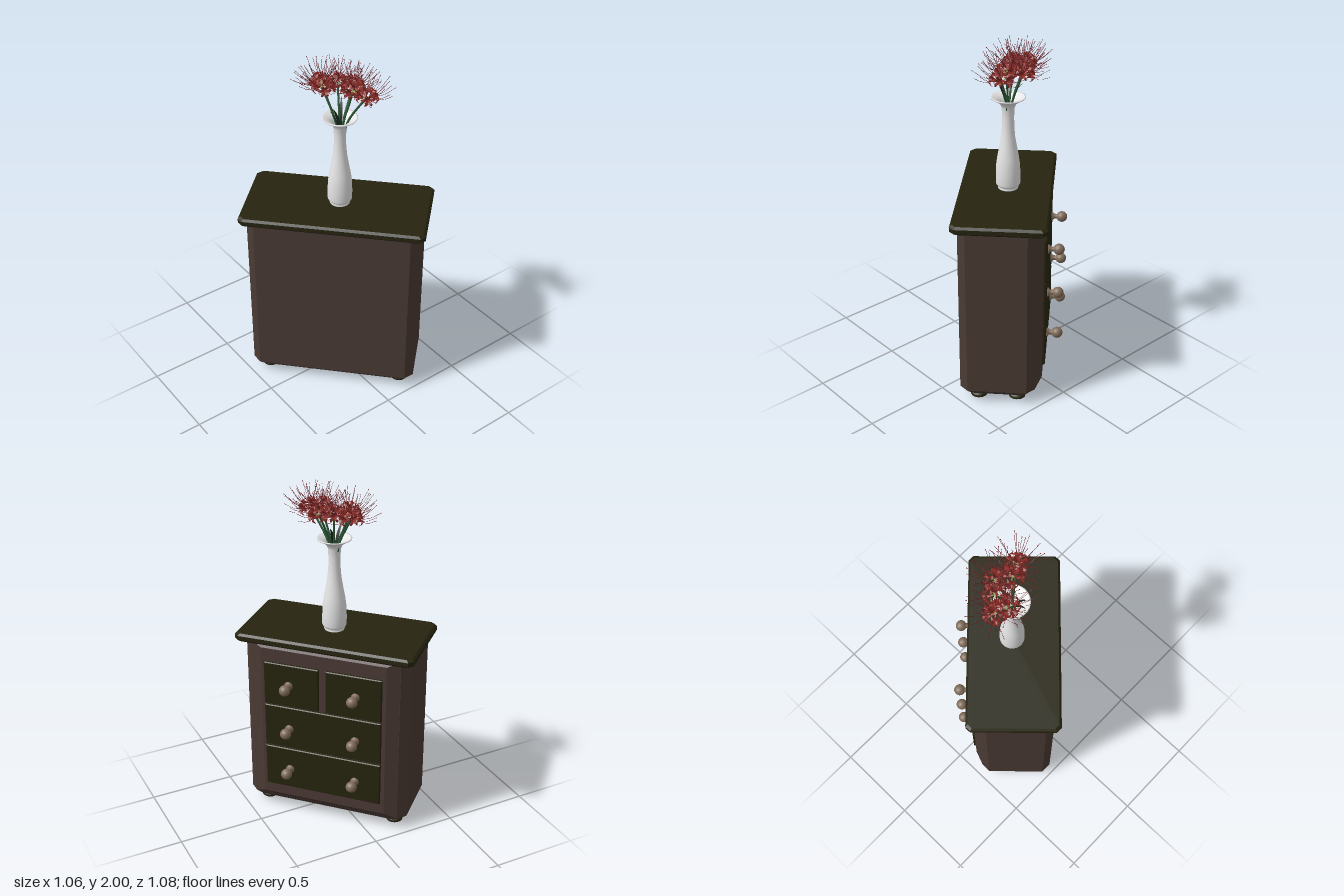
import * as THREE from 'three';
import { mergeGeometries } from 'three/addons/utils/BufferGeometryUtils.js';

const V = (x, y, z) => new THREE.Vector3(x, y, z);

// Skin a stack of equal-length rings and close both ends (flat faces)
function loft(rings) {
  const n = rings[0].length, pos = [];
  const tri = (...pts) => pts.forEach(p => pos.push(...p));
  for (let r = 0; r < rings.length - 1; r++) {
    for (let i = 0; i < n; i++) {
      const j = (i + 1) % n, a = rings[r], b = rings[r + 1];
      tri(a[i], a[j], b[j]);
      tri(a[i], b[j], b[i]);
    }
  }
  const lo = rings[0], hi = rings[rings.length - 1];
  for (let i = 1; i < n - 1; i++) {
    tri(lo[0], lo[i + 1], lo[i]);
    tri(hi[0], hi[i], hi[i + 1]);
  }
  const g = new THREE.BufferGeometry();
  g.setAttribute('position', new THREE.Float32BufferAttribute(pos, 3));
  g.computeVertexNormals();
  return g;
}

// Horizontal rectangle with cut corners
function octagon(y, hx, z0, z1, c) {
  return [[-hx + c, y, z1], [hx - c, y, z1], [hx, y, z1 - c], [hx, y, z0 + c],
    [hx - c, y, z0], [-hx + c, y, z0], [-hx, y, z0 + c], [-hx, y, z1 - c]];
}

// Upright rectangle facing +z
const rect = (x0, x1, y0, y1, z) => [[x0, y0, z], [x1, y0, z], [x1, y1, z], [x0, y1, z]];

const lathe = (pts, seg) => new THREE.LatheGeometry(pts.map(p => new THREE.Vector2(...p)), seg);

// Narrow blade that follows a path
function blade(path, side, width, n) {
  const pos = [], idx = [];
  for (let i = 0; i <= n; i++) {
    const t = i / n, p = path(t), w = width(t);
    pos.push(p.x - side.x * w, p.y - side.y * w, p.z - side.z * w,
      p.x + side.x * w, p.y + side.y * w, p.z + side.z * w);
    if (i < n) idx.push(2 * i, 2 * i + 1, 2 * i + 3, 2 * i, 2 * i + 3, 2 * i + 2);
  }
  const g = new THREE.BufferGeometry();
  g.setAttribute('position', new THREE.Float32BufferAttribute(pos, 3));
  g.setIndex(idx);
  g.computeVertexNormals();
  return g;
}

const tube = (pts, r, seg, sides) =>
  new THREE.TubeGeometry(new THREE.CatmullRomCurve3(pts), seg, r, sides);

export function createModel() {
  const mat = (name, color, extra = {}) =>
    Object.assign(new THREE.MeshStandardMaterial({ color, ...extra }), { name });
  const two = { side: THREE.DoubleSide };
  const wood = mat('brown wood', 0x4a3a34);
  const dark = mat('dark olive wood', 0x26240f);
  const knobMat = mat('knob wood', 0x806c5a);
  const white = mat('white china', 0xe6e6e6);
  const green = mat('stem green', 0x2f5c3a);
  const leafMat = mat('dark leaf', 0x14281c, two);
  const red = mat('petal red', 0x8c2a24, two);
  const wine = mat('filament red', 0x70242a);
  const cream = mat('cream green', 0xb8b878);

  const model = new THREE.Group();
  const add = (parent, name, geo, material) => {
    const m = new THREE.Mesh(geo, material);
    m.name = name;
    parent.add(m);
    return m;
  };

  // Cabinet, turned so its drawers face +x and -z
  const cabinet = new THREE.Group();
  cabinet.name = 'cabinet';
  cabinet.rotation.y = 2.332;
  model.add(cabinet);

  add(cabinet, 'carcass', loft([
    octagon(0.045, 0.455, -0.198, 0.17, 0.04),
    octagon(0.08, 0.486, -0.228, 0.2, 0.046),
    octagon(1.105, 0.486, -0.228, 0.2, 0.046)]), wood);
  add(cabinet, 'frontFrame', loft([
    rect(-0.44, 0.44, 0.08, 1.102, 0.199),
    rect(-0.37, 0.37, 0.12, 1.074, 0.235)]), wood);
  add(cabinet, 'top', loft([
    octagon(1.1, 0.508, -0.25, 0.25, 0.024),
    octagon(1.112, 0.521, -0.262, 0.262, 0.026),
    octagon(1.136, 0.521, -0.262, 0.262, 0.026),
    octagon(1.148, 0.508, -0.25, 0.25, 0.024)]), dark);

  // Drawers: x range and y range of each front
  const drawers = [[-0.348, 0.348, 0.188, 0.449], [-0.348, 0.348, 0.459, 0.723],
    [-0.348, -0.021, 0.732, 0.994], [0.021, 0.348, 0.732, 0.994]];
  for (const [x0, x1, y0, y1] of drawers) {
    const b = 0.005;
    add(cabinet, 'drawer', loft([rect(x0, x1, y0, y1, 0.22), rect(x0, x1, y0, y1, 0.245),
      rect(x0 + b, x1 - b, y0 + b, y1 - b, 0.25)]), dark);
  }

  // Knobs: collar, neck and ball
  const knobPts = [[0, 0], [0.025, 0], [0.025, 0.008], [0.015, 0.016], [0.014, 0.034]];
  for (let i = 1; i <= 12; i++) {
    const a = -1.1 + (Math.PI / 2 + 1.1) * i / 12;
    knobPts.push([Math.max(0, 0.032 * Math.cos(a)), 0.062 + 0.032 * Math.sin(a)]);
  }
  const knobGeo = lathe(knobPts, 20).rotateX(Math.PI / 2);
  for (const y of [0.315, 0.586, 0.867])
    for (const s of [-1, 1]) add(cabinet, 'knob', knobGeo, knobMat).position.set(s * 0.198, y, 0.249);

  // Bun feet
  const footGeo = lathe([[0, 0], [0.04, 0], [0.048, 0.006], [0.051, 0.017], [0.047, 0.027],
    [0.03, 0.034], [0.033, 0.05]], 20);
  for (const x of [-0.396, 0.396])
    for (const z of [-0.124, 0.096]) add(cabinet, 'foot', footGeo, dark).position.set(x, 0, z);

  // Vase with inner wall
  const vx = 0.014;
  add(model, 'vase', lathe([[0, 1.147], [0.056, 1.147], [0.058, 1.153], [0.052, 1.162], [0.064, 1.17],
    [0.069, 1.18], [0.069, 1.23], [0.067, 1.29], [0.06, 1.34], [0.049, 1.4], [0.039, 1.46], [0.034, 1.52],
    [0.033, 1.58], [0.036, 1.63], [0.046, 1.655], [0.07, 1.672], [0.095, 1.686], [0.097, 1.692],
    [0.09, 1.692], [0.066, 1.68], [0.042, 1.662], [0.03, 1.63], [0.027, 1.56], [0, 1.5]], 32), white)
    .position.x = vx;

  // Spider lilies: each head is a ring of florets with curled petals and long filaments
  const heads = [[-0.01, 1.835, -0.145], [-0.035, 1.845, -0.08], [0.055, 1.84, -0.075],
    [0.11, 1.835, -0.015], [0.06, 1.85, 0.05], [0.095, 1.83, 0.12]];
  const up = V(0, 1, 0);
  heads.forEach(([hx, hy, hz], h) => {
    const flower = new THREE.Group();
    flower.name = 'flower';
    model.add(flower);
    const c = V(hx, hy, hz), dx = hx - vx;
    const petals = [], filaments = [], anthers = [], throats = [];
    const outward = V(dx, 0, hz).multiplyScalar(1.5);

    for (let f = 0; f < 6; f++) {
      const az = f * Math.PI * 2 / 5 + h * 0.7;
      const el = f === 5 ? 1.4 : 0.22 + 0.25 * ((f * 2 + h) % 3) / 2;
      const d = V(Math.cos(az) * Math.cos(el), Math.sin(el), Math.sin(az) * Math.cos(el))
        .add(outward).normalize();
      const e1 = V(0, 0, 0).crossVectors(d, Math.abs(d.y) > 0.9 ? V(1, 0, 0) : up).normalize();
      const e2 = V(0, 0, 0).crossVectors(d, e1);
      const p0 = c.clone().addScaledVector(d, 0.026);
      const ray = a => e1.clone().multiplyScalar(Math.cos(a)).addScaledVector(e2, Math.sin(a));
      throats.push(tube([c.clone(), c.clone().lerp(p0, 0.5), p0.clone()], 0.0035, 2, 5));

      for (let k = 0; k < 6; k++) {
        const r = ray(k * Math.PI / 3);
        const side = V(0, 0, 0).crossVectors(d, r);
        petals.push(blade(t => p0.clone().addScaledVector(d, 0.036 * Math.sin(2.6 * t))
          .addScaledVector(r, 0.002 + 0.036 * t), side,
        t => 0.0015 + 0.0062 * Math.sin(Math.PI * Math.min(1, t * 0.9 + 0.05)), 6));
      }
      for (let k = 0; k < 5; k++) {
        const r = ray(k * Math.PI * 0.4 + 0.3);
        const len = 0.1 + 0.007 * ((k * 3 + f + h) % 5);
        const lift = f === 5 ? 0 : 0.025;
        const tip = p0.clone().addScaledVector(d, len).addScaledVector(r, 0.042).addScaledVector(up, lift);
        tip.y = Math.min(tip.y, 1.997);
        const mid = p0.clone().addScaledVector(d, len * 0.55).addScaledVector(r, 0.026);
        filaments.push(tube([p0.clone(), mid, tip], 0.0011, 6, 3));
        anthers.push(new THREE.OctahedronGeometry(0.003).translate(tip.x, tip.y, tip.z));
      }
    }
    add(flower, 'petals', mergeGeometries(petals), red);
    add(flower, 'filaments', mergeGeometries(filaments), wine);
    add(flower, 'anthers', mergeGeometries(anthers), red);
    add(flower, 'throats', mergeGeometries(throats), cream);
    add(flower, 'stem', tube([V(vx + dx * 0.1, 1.54, hz * 0.1), V(vx + dx * 0.3, 1.67, hz * 0.3),
      V(vx + dx * 0.7, 1.77, hz * 0.7), c], 0.0062, 10, 6), green);
  });

  // Slender leaves leaning out of the vase
  for (const [x, y, z] of [[-0.09, 1.79, -0.01], [-0.06, 1.78, 0.03], [0.07, 1.77, -0.06]]) {
    const curve = new THREE.QuadraticBezierCurve3(V(vx, 1.58, 0),
      V(vx + (x - vx) * 0.25, 1.73, z * 0.25), V(x, y, z));
    add(model, 'leaf', blade(t => curve.getPoint(t), V(-z, 0, x - vx).normalize(),
      t => 0.001 + 0.009 * Math.sin(Math.PI * (0.15 + 0.85 * t)), 8), leafMat);
  }
  return model;
}
